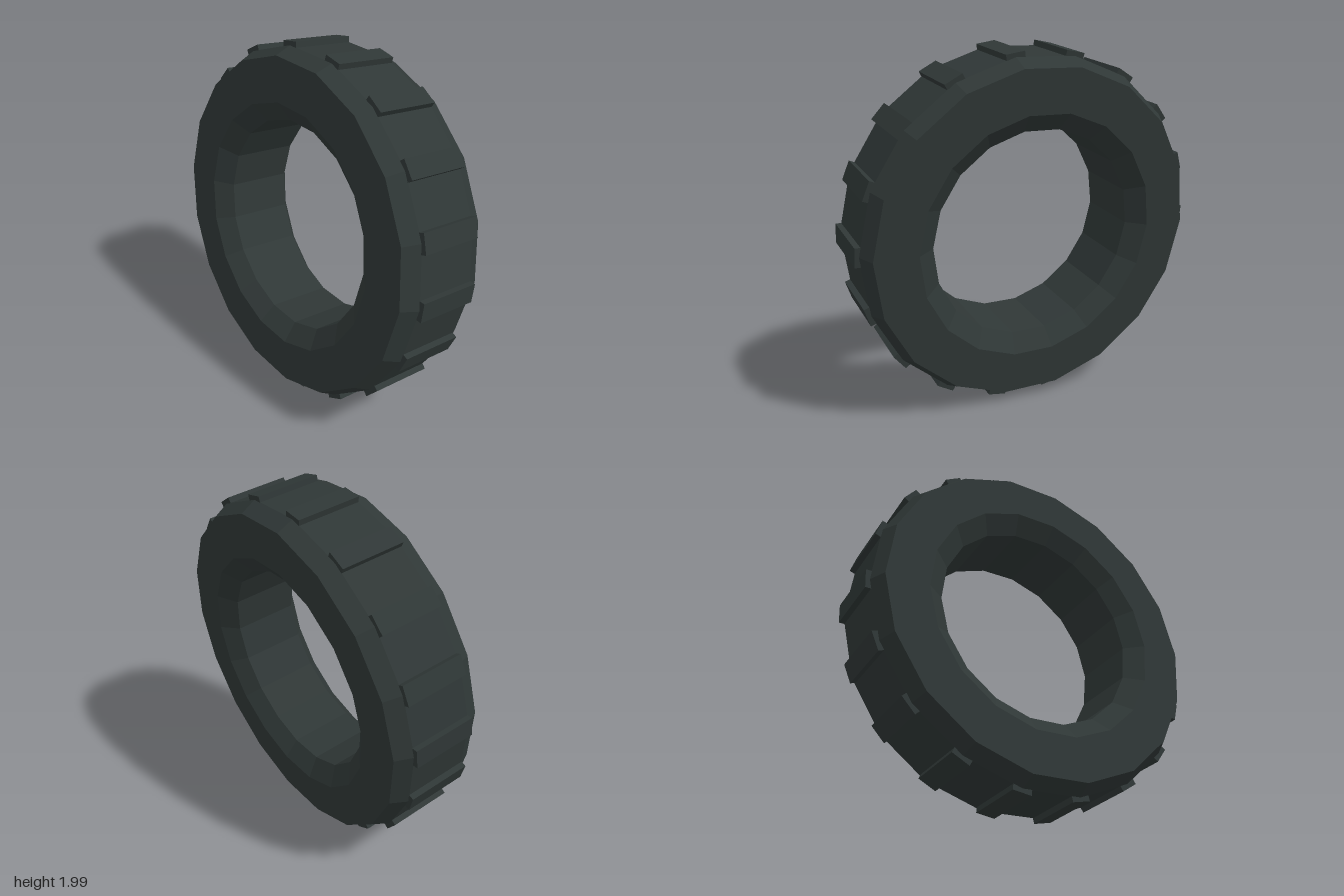
import * as THREE from 'three';

const SIDES = 18;

export function createModel() {
  const model = new THREE.Group();
  model.name = 'tire';
  const rubber = new THREE.MeshStandardMaterial({ color: 0x2f3736, flatShading: true });
  rubber.name = 'dark rubber';

  // The wheel leans back around the x axis
  const wheel = new THREE.Group();
  wheel.name = 'leaningWheel';
  wheel.rotation.x = -0.124;
  wheel.position.y = 1;
  model.add(wheel);

  // Closed ring profile: [radius, offset along the axle]
  const profile = [
    [0.585, -0.187], [0.685, -0.2625], [0.922, -0.2625], [0.966, -0.174],
    [0.966, 0.174], [0.922, 0.2625], [0.685, 0.2625], [0.585, 0.187], [0.585, -0.187],
  ].map(([r, y]) => new THREE.Vector2(r, y));
  const ringGeometry = new THREE.LatheGeometry(profile, SIDES, Math.PI / 2);
  ringGeometry.rotateX(Math.PI / 2);
  const ring = new THREE.Mesh(ringGeometry, rubber);
  ring.name = 'tireBody';
  wheel.add(ring);

  // One tread block across each corner of the ring
  const blockGeometry = new THREE.BoxGeometry(0.054, 0.105, 0.352);
  for (let i = 0; i < SIDES; i++) {
    const angle = (i / SIDES) * Math.PI * 2;
    const block = new THREE.Mesh(blockGeometry, rubber);
    block.name = `treadBlock${i + 1}`;
    block.position.set(0.96 * Math.cos(angle), 0.96 * Math.sin(angle), 0);
    block.rotation.z = angle;
    wheel.add(block);
  }
  return model;
}
